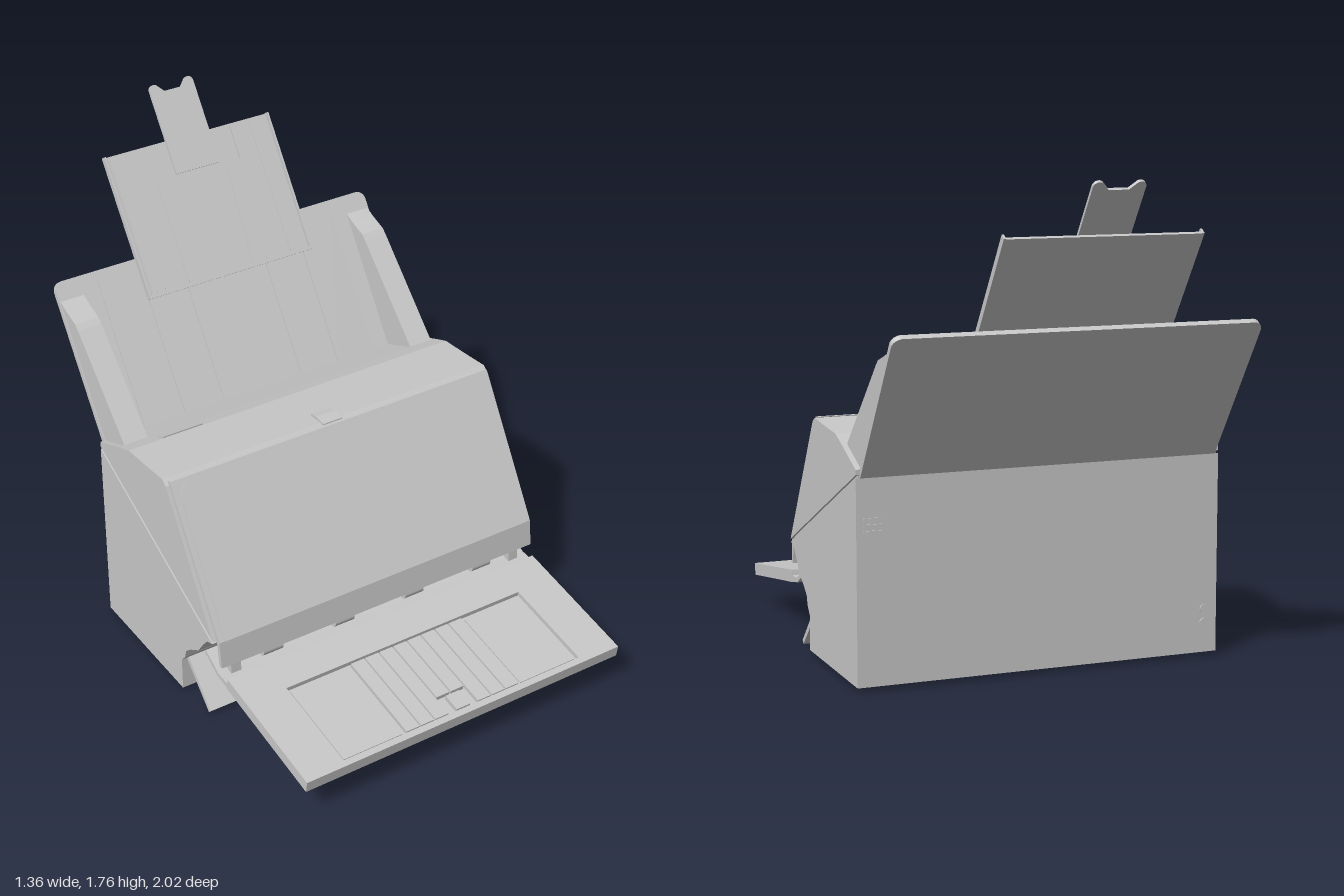
import * as THREE from 'three';

const grey = new THREE.MeshStandardMaterial({ color: 0xc8c8c8 });
grey.name = 'light grey plastic';

export function createModel() {
  const model = new THREE.Group();
  model.name = 'sheetFedScanner';

  const add = (name, geometry, parent = model) => {
    const mesh = new THREE.Mesh(geometry, grey);
    mesh.name = name;
    parent.add(mesh);
    return mesh;
  };
  // Side profile given as [z, y] points, extruded from x0 to x1
  const profile = (name, pts, x0, x1) => {
    const shape = new THREE.Shape(pts.map(([z, y]) => new THREE.Vector2(-z, y)));
    const g = new THREE.ExtrudeGeometry(shape, { depth: x1 - x0, bevelEnabled: false });
    return add(name, g.rotateY(Math.PI / 2).translate(x0, 0, 0));
  };
  // Box given by its limits
  const box = (name, x0, x1, y0, y1, z0, z1, parent = model) =>
    add(name, new THREE.BoxGeometry(x1 - x0, y1 - y0, z1 - z0)
      .translate((x0 + x1) / 2, (y0 + y1) / 2, (z0 + z1) / 2), parent);
  // Rectangle whose top corners are rounded
  const roundTop = (x0, x1, y0, y1, r) => {
    const s = new THREE.Shape();
    s.moveTo(x0, y0).lineTo(x1, y0).lineTo(x1, y1 - r);
    s.absarc(x1 - r, y1 - r, r, 0, Math.PI / 2);
    s.absarc(x0 + r, y1 - r, r, Math.PI / 2, Math.PI);
    s.closePath();
    return s;
  };
  const plate = (name, shape, z, depth, parent) =>
    add(name, new THREE.ExtrudeGeometry(shape, { depth, bevelEnabled: false, curveSegments: 8 })
      .translate(0, 0, z), parent);
  // Group leaning backwards by an angle
  const leaning = (name, y, z, angle) => {
    const g = new THREE.Group();
    g.name = name;
    g.position.set(0, y, z);
    g.rotation.x = -angle;
    model.add(g);
    return g;
  };

  // Lower housing with its curved paper exit, and slightly prouder side skins
  const lower = [[0.2, 0.02], [0.2, 0.15], [0.225, 0.18], [0.235, 0.215], [0.27, 0.245],
    [0.325, 0.28], [0.36, 0.33], [0.39, 0.365], [0.425, 0.377], [-0.35, 0.745], [-0.35, 0.02]];
  profile('lowerHousing', lower, -0.665, 0.665);
  // Upper cover
  const upper = [[0.43, 0.388], [0.135, 0.868], [0.11, 0.885], [0, 0.875], [-0.13, 0.865],
    [-0.2, 0.838], [-0.35, 0.775], [-0.35, 0.757]];
  profile('upperCover', upper, -0.665, 0.665);
  for (const s of [-1, 1]) {
    const a = s > 0 ? 0.665 : -0.68, b = s > 0 ? 0.68 : -0.665;
    profile('lowerSidePanel', lower, a, b);
    profile('upperSidePanel', upper, a, b);
  }
  profile('seam', [[0.41, 0.37], [0.41, 0.41], [-0.345, 0.77], [-0.345, 0.73]], -0.672, 0.672);

  // Front door: bent panel with a raised, rounded face
  profile('frontDoor', [[0.135, 0.868], [0.125, 0.885], [0.14, 0.885], [0.452, 0.392],
    [0.465, 0.29], [0.448, 0.29], [0.435, 0.388]], -0.667, 0.667);
  const lean = Math.atan2(0.312, 0.493);
  const face = leaning('doorFace', 0.392, 0.452, lean);
  plate('doorSkin', roundTop(-0.645, 0.645, 0, 0.575, 0.07), -0.004, 0.008, face);

  // Button and slot on the top
  profile('latchButton', [[0.13, 0.875], [0.128, 0.89], [0.08, 0.894], [0.045, 0.887], [0.045, 0.87]],
    -0.035, 0.045);
  profile('topWindow', [[-0.135, 0.86], [-0.135, 0.868], [-0.18, 0.85], [-0.18, 0.84]], -0.54, -0.375);

  // Parts inside the paper exit
  box('exitBar', -0.49, 0.49, 0.265, 0.285, 0.415, 0.435);
  for (const x of [-0.45, -0.15, 0.15, 0.45]) {
    add('exitRoller', new THREE.CylinderGeometry(0.025, 0.025, 0.08, 16)
      .rotateZ(Math.PI / 2).translate(x, 0.275, 0.43));
  }
  for (const s of [-1, 1]) {
    profile('trayHinge', [[0.41, 0.37], [0.44, 0.36], [0.45, 0.23], [0.42, 0.225]],
      s * 0.6 - 0.02, s * 0.6 + 0.02);
  }

  // Lower flap and the lip that leads to the output tray
  profile('lowerFlap', [[0.215, 0.165], [0.2, 0.15], [0.35, 0.005], [0.362, 0.017]], -0.66, 0.66);
  profile('trayLip', [[0.49, 0.235], [0.49, 0.213], [0.42, 0.222], [0.335, 0.272],
    [0.342, 0.284], [0.43, 0.237]], -0.66, 0.66);

  // Output tray with recesses and a slatted centre
  const tray = new THREE.Group();
  tray.name = 'outputTray';
  tray.position.set(0, 0.21, 0.482);
  tray.rotation.x = 0.155;
  model.add(tray);
  const len = 0.52;
  box('trayBase', -0.66, 0.66, 0, 0.028, 0, len, tray);
  box('trayBackBorder', -0.66, 0.66, 0.028, 0.046, 0, 0.13, tray);
  box('trayFrontBorder', -0.5, 0.5, 0.028, 0.046, len - 0.025, len, tray);
  for (const s of [-1, 1]) {
    box('traySideBorder', s * 0.58 - 0.08, s * 0.58 + 0.08, 0.028, 0.046, 0.13, len, tray);
    box('trayPocketFloor', s * 0.37 - 0.12, s * 0.37 + 0.12, 0.028, 0.034, 0.14, len - 0.035, tray);
  }
  for (let i = 0; i < 8; i++) {
    const x = -0.238 + i * 0.06;
    const end = i === 3 || i === 4 ? 0.41 : len - 0.03;
    box('traySlat', x, x + 0.054, 0.028, 0.044, 0.138, end, tray);
  }
  box('trayStopper', -0.028, 0.028, 0.028, 0.046, 0.42, 0.49, tray);

  // Input chute: back panel, raised strips and side rails
  const chute = leaning('inputChute', 0.745, -0.352, 0.6);
  plate('chutePanel', roundTop(-0.665, 0.665, 0, 0.615, 0.035), 0, 0.02, chute);
  for (const [x0, x1] of [[-0.5, -0.336], [-0.33, -0.171], [-0.165, 0.165], [0.171, 0.33], [0.336, 0.5]]) {
    box('chuteStrip', x0, x1, 0.02, 0.59, 0.018, 0.025, chute);
  }
  for (const s of [-1, 1]) {
    profile('chuteRail', [[-0.345, 0.76], [-0.2, 0.84], [-0.515, 1.15], [-0.535, 1.167], [-0.6, 1.188],
      [-0.64, 1.205], [-0.66, 1.21]], s * 0.613 - 0.047, s * 0.613 + 0.047);
  }

  // Sliding extension: thin back plate with a notched front layer
  const ext = leaning('chuteExtension', 1.135, -0.592, 0.61);
  ext.position.x = 0.016;
  box('extensionBack', -0.35, 0.35, 0, 0.538, 0, 0.01, ext);
  const notched = new THREE.Shape([[-0.335, 0.012], [0.335, 0.012], [0.335, 0.53], [0.18, 0.53],
    [0.18, 0.4], [-0.18, 0.4], [-0.18, 0.53], [-0.335, 0.53]].map(p => new THREE.Vector2(...p)));
  plate('extensionFront', notched, 0.008, 0.01, ext);
  box('extensionBottomEdge', -0.35, 0.35, 0, 0.012, 0, 0.026, ext);
  for (const s of [-1, 1]) {
    box('extensionSideEdge', s * 0.346 - 0.004, s * 0.346 + 0.004, 0, 0.54, 0, 0.023, ext);
    const rib = new THREE.Shape([[0.095, 0.02], [0.18, 0.02], [0.18, 0.39], [0.11, 0.39], [0.11, 0.3]]
      .map(([x, y]) => new THREE.Vector2(s * x, y)));
    plate('extensionRib', rib, 0.016, 0.005, ext);
    box('extensionStrip', s * 0.295 - 0.035, s * 0.295 + 0.035, 0.02, 0.525, 0.016, 0.021, ext);
  }

  // Narrow end stop with two rounded horns
  const tip = new THREE.Shape();
  tip.moveTo(-0.092, 0.41).lineTo(0.092, 0.41).lineTo(0.092, 0.725);
  tip.absarc(0.072, 0.728, 0.02, 0, Math.PI * 0.8);
  tip.lineTo(0.035, 0.717).lineTo(-0.035, 0.717);
  tip.absarc(-0.072, 0.728, 0.02, Math.PI * 0.2, Math.PI);
  tip.closePath();
  plate('endStop', tip, 0.01, 0.011, ext);

  // Rear vents, ports and the lower side knobs
  for (let i = 0; i < 3; i++) {
    box('rearVent', 0.59, 0.655, 0.555 + i * 0.022, 0.563 + i * 0.022, -0.354, -0.35);
  }
  for (const y of [0.13, 0.18]) {
    add('rearPort', new THREE.CylinderGeometry(0.016, 0.016, 0.004, 16)
      .rotateX(Math.PI / 2).translate(-0.63, y, -0.352));
  }
  return model;
}
